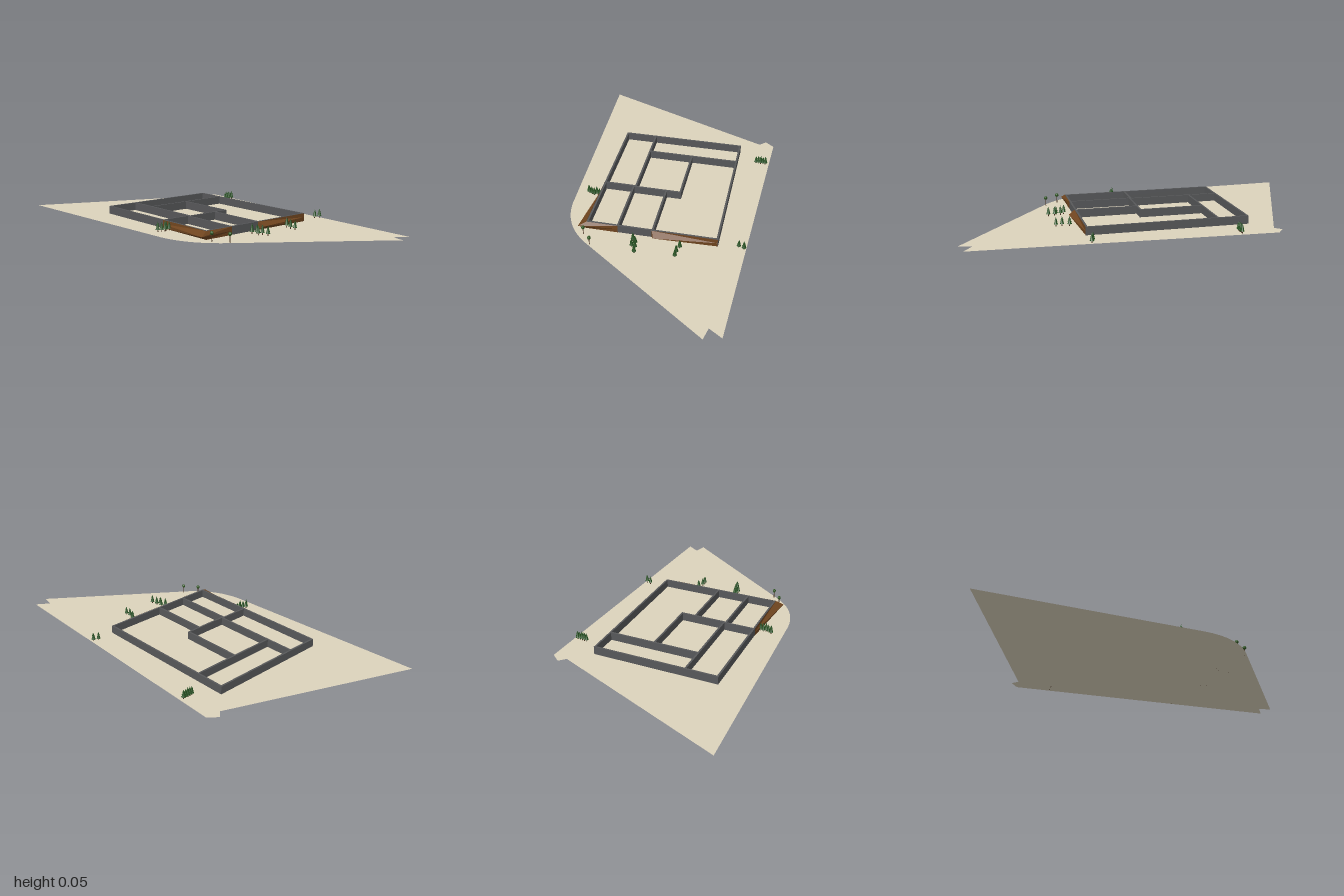
import * as THREE from 'three';
import { mergeVertices } from 'three/addons/utils/BufferGeometryUtils.js';

const H = 0.044; // wall height
const T = 0.01; // wall thickness

const paint = (color, extra = {}) => new THREE.MeshStandardMaterial({ color, ...extra });
const mats = {
  ground: paint(0xdcd3bc, { side: THREE.DoubleSide }),
  wall: paint(0x57585a),
  earth: paint(0x70451f, { side: THREE.DoubleSide, flatShading: true }),
  trunk: paint(0x4a3320),
  needles: paint(0x234f1e, { flatShading: true }),
  leaves: paint(0x2f5722, { flatShading: true }),
};

function add(parent, name, geometry, material, x = 0, y = 0, z = 0) {
  const mesh = new THREE.Mesh(geometry, material);
  mesh.name = name;
  mesh.position.set(x, y, z);
  parent.add(mesh);
  return mesh;
}

// Flat plot with two notched corners and one rounded corner
function plotGeometry() {
  const s = new THREE.Shape();
  s.moveTo(-0.59, 0.54);
  s.lineTo(0.976, 0.468);
  s.lineTo(0.93, 0.398);
  s.lineTo(1, 0.382);
  s.lineTo(0.5, -0.302);
  s.quadraticCurveTo(0.385, -0.468, 0.18, -0.482);
  s.lineTo(-1, -0.532);
  s.lineTo(-0.596, 0.457);
  s.lineTo(-0.63, 0.49);
  s.closePath();
  return new THREE.ShapeGeometry(s, 20).rotateX(-Math.PI / 2);
}

// Earth bank: each station is [innerX, innerZ, outerX, outerZ], widest at half height
function bankGeometry(stations) {
  const pos = [];
  const index = [];
  stations.forEach(([ix, iz, ox, oz], i) => {
    pos.push(ix, H, iz, ox, H / 2, oz, ix, 0, iz);
    if (i === 0) return;
    const a = (i - 1) * 3;
    const b = i * 3;
    for (let k = 0; k < 2; k++) {
      index.push(a + k, a + k + 1, b + k, a + k + 1, b + k + 1, b + k);
    }
  });
  const n = (stations.length - 1) * 3;
  index.push(n, n + 1, n + 2);
  let g = new THREE.BufferGeometry();
  g.setAttribute('position', new THREE.Float32BufferAttribute(pos, 3));
  g.setIndex(index);
  g = mergeVertices(g);
  g.computeVertexNormals();
  return g;
}

const trunkGeo = new THREE.CylinderGeometry(0.0018, 0.0025, 0.018, 6);
const tierGeos = [0.012, 0.0095, 0.007].map((r) => new THREE.ConeGeometry(r, 0.02, 8));
const crownGeo = new THREE.IcosahedronGeometry(0.0105, 1);

function conifer(x, z, scale) {
  const tree = new THREE.Group();
  tree.name = 'conifer';
  add(tree, 'trunk', trunkGeo, mats.trunk, 0, 0.009, 0);
  tierGeos.forEach((g, i) => add(tree, 'branches', g, mats.needles, 0, 0.022 + i * 0.0105, 0));
  tree.position.set(x, 0, z);
  tree.scale.setScalar(scale);
  return tree;
}

function broadleaf(x, z) {
  const tree = new THREE.Group();
  tree.name = 'broadleafTree';
  add(tree, 'trunk', trunkGeo, mats.trunk, 0, 0.018, 0).scale.y = 2;
  add(tree, 'crown', crownGeo, mats.leaves, 0, 0.043, 0).scale.z = 0.85;
  tree.position.set(x, 0, z);
  return tree;
}

export function createModel() {
  const model = new THREE.Group();
  model.name = 'walledPlot';

  add(model, 'plot', plotGeometry(), mats.ground);

  // Walls as centre lines [x1, z1, x2, z2]
  const walls = new THREE.Group();
  walls.name = 'walls';
  const L = -0.492, R = 0.367, B = -0.347, F = 0.34;
  const runs = [
    [L, B, R, B], [L, F, R, F], [L, B, L, F], [R, B, R, F],
    [-0.329, B, -0.329, 0.166],
    [-0.329, -0.086, 0.024, -0.086],
    [0.024, -0.086, 0.024, 0.177],
    [L, 0.166, 0.024, 0.166],
    [0.024, -0.008, R, -0.008],
    [0.018, 0.177, R, 0.177],
    [0.018, 0.166, 0.018, F],
  ];
  for (const [x1, z1, x2, z2] of runs) {
    const box = new THREE.BoxGeometry(x2 - x1 + T, H, z2 - z1 + T);
    add(walls, 'wall', box, mats.wall, (x1 + x2) / 2, H / 2 + 0.0004, (z1 + z2) / 2);
  }
  model.add(walls);

  // Earth banks against the outer walls
  add(model, 'cornerBank', bankGeometry([
    [0.02, 0.346, 0.02, 0.347],
    [0.373, 0.346, 0.39, 0.388],
    [0.373, 0.177, 0.374, 0.177],
  ]), mats.earth);
  add(model, 'sideBank', bankGeometry([
    [0.373, -0.35, 0.374, -0.35],
    [0.373, -0.005, 0.407, -0.02],
  ]), mats.earth);

  // Trees
  const trees = new THREE.Group();
  trees.name = 'trees';
  const spots = [
    [0.366, -0.484], [0.356, -0.457],
    [0.425, -0.163], [0.463, -0.152], [0.495, -0.152],
    [0.42, 0.083], [0.44, 0.067], [0.463, 0.08], [0.473, 0.061], [0.508, 0.056],
    [0.088, 0.357], [0.083, 0.373], [0.092, 0.386], [0.084, 0.402], [0.075, 0.42],
  ];
  for (let i = 0; i < 5; i++) spots.push([-0.4, -0.51 + i * 0.0135]);
  spots.forEach(([x, z], i) => trees.add(conifer(x, z, [1, 0.94, 1.03][i % 3])));
  trees.add(broadleaf(0.492, 0.296), broadleaf(0.42, 0.35));
  model.add(trees);

  return model;
}
